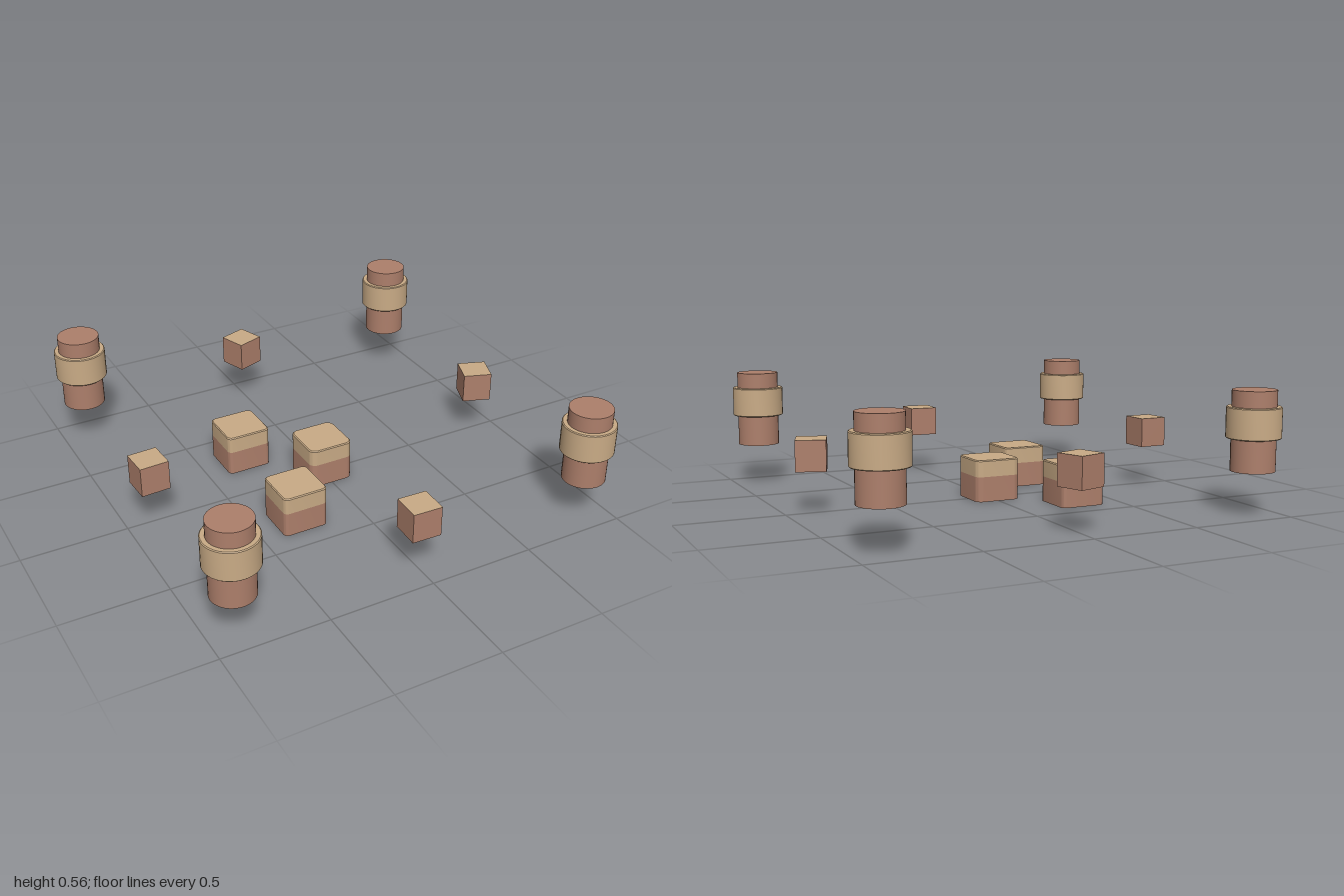
import * as THREE from 'three';
import { toCreasedNormals } from 'three/addons/utils/BufferGeometryUtils.js';

const clay = new THREE.MeshStandardMaterial({ name: 'reddish clay', color: 0xad7f6b, side: THREE.DoubleSide });
const sand = new THREE.MeshStandardMaterial({ name: 'pale sand', color: 0xc9ab86, side: THREE.DoubleSide });

function add(parent, name, geometry, material) {
  const mesh = new THREE.Mesh(geometry, material);
  mesh.name = name;
  parent.add(mesh);
  return mesh;
}

// Square outline with rounded corners
function roundedSquare(half, r) {
  const s = new THREE.Shape();
  const k = half - r;
  s.absarc(k, k, r, 0, Math.PI / 2);
  s.absarc(-k, k, r, Math.PI / 2, Math.PI);
  s.absarc(-k, -k, r, Math.PI, Math.PI * 1.5);
  s.absarc(k, -k, r, Math.PI * 1.5, Math.PI * 2);
  s.closePath();
  return s;
}

// Open wall through a stack of rounded squares, given as [half width, height]
function wall(rings, r) {
  const pos = [], index = [];
  let n = 0;
  for (const [half, y] of rings) {
    const pts = roundedSquare(half, r).getPoints(6);
    n = pts.length;
    for (const p of pts) pos.push(p.x, y, -p.y);
  }
  for (let k = 0; k < rings.length - 1; k++) {
    for (let i = 0; i < n; i++) {
      const j = (i + 1) % n;
      const a = k * n + i, b = k * n + j;
      index.push(a, b, a + n, b, b + n, a + n);
    }
  }
  const g = new THREE.BufferGeometry();
  g.setAttribute('position', new THREE.Float32BufferAttribute(pos, 3));
  g.setIndex(index);
  return toCreasedNormals(g, 0.6);
}

// Two-tone block, hollow and open underneath
function block(x, z, half, r) {
  const g = new THREE.Group();
  g.name = 'block';
  g.position.set(x, 0, z);
  add(g, 'blockBase', wall([[half, 0], [half, 0.118]], r), clay);
  add(g, 'blockUpper', wall([[half, 0.118], [half, 0.192], [half - 0.004, 0.197]], r), sand);
  const top = new THREE.ShapeGeometry(roundedSquare(half - 0.004, r), 6).rotateX(-Math.PI / 2);
  add(g, 'blockTop', top, sand).position.y = 0.197;
  return g;
}

// Column with an open foot and a wide band around it
function column(x, z) {
  const g = new THREE.Group();
  g.name = 'column';
  g.position.set(x, 0, z);
  const shaft = new THREE.CylinderGeometry(0.1, 0.1, 0.362, 40, 1, true);
  add(g, 'columnShaft', shaft, clay).position.y = 0.379;
  const cap = new THREE.CircleGeometry(0.1, 40).rotateX(-Math.PI / 2);
  add(g, 'columnTop', cap, clay).position.y = 0.56;
  const profile = [[0.1, 0.345], [0.119, 0.345], [0.123, 0.349], [0.123, 0.482], [0.119, 0.486], [0.1, 0.486]]
    .map(([r, y]) => new THREE.Vector2(r, y));
  add(g, 'columnBand', toCreasedNormals(new THREE.LatheGeometry(profile, 40), 0.6), sand);
  return g;
}

export function createModel() {
  const model = new THREE.Group();
  model.name = 'blocksAndColumns';

  // Four corner columns
  const d = 0.877;
  for (const sx of [-1, 1]) for (const sz of [-1, 1]) model.add(column(sx * d, sz * d));

  // Middle block and its two neighbours
  model.add(block(0, 0, 0.11, 0.032));
  for (const s of [-1, 1]) model.add(block(-0.293, s * 0.293, 0.108, 0.022));

  // Small turned cubes midway along each side, with pale tops
  const faces = [clay, clay, sand, clay, clay, clay];
  for (const [x, z, turn] of [[0, -0.88, 0.33], [0.876, 0, -0.35], [-0.003, 0.873, -0.04], [-0.877, 0, 0.05]]) {
    const cube = add(model, 'smallCube', new THREE.BoxGeometry(0.138, 0.142, 0.138), faces);
    cube.position.set(x, 0.268, z);
    cube.rotation.y = turn;
  }
  return model;
}
